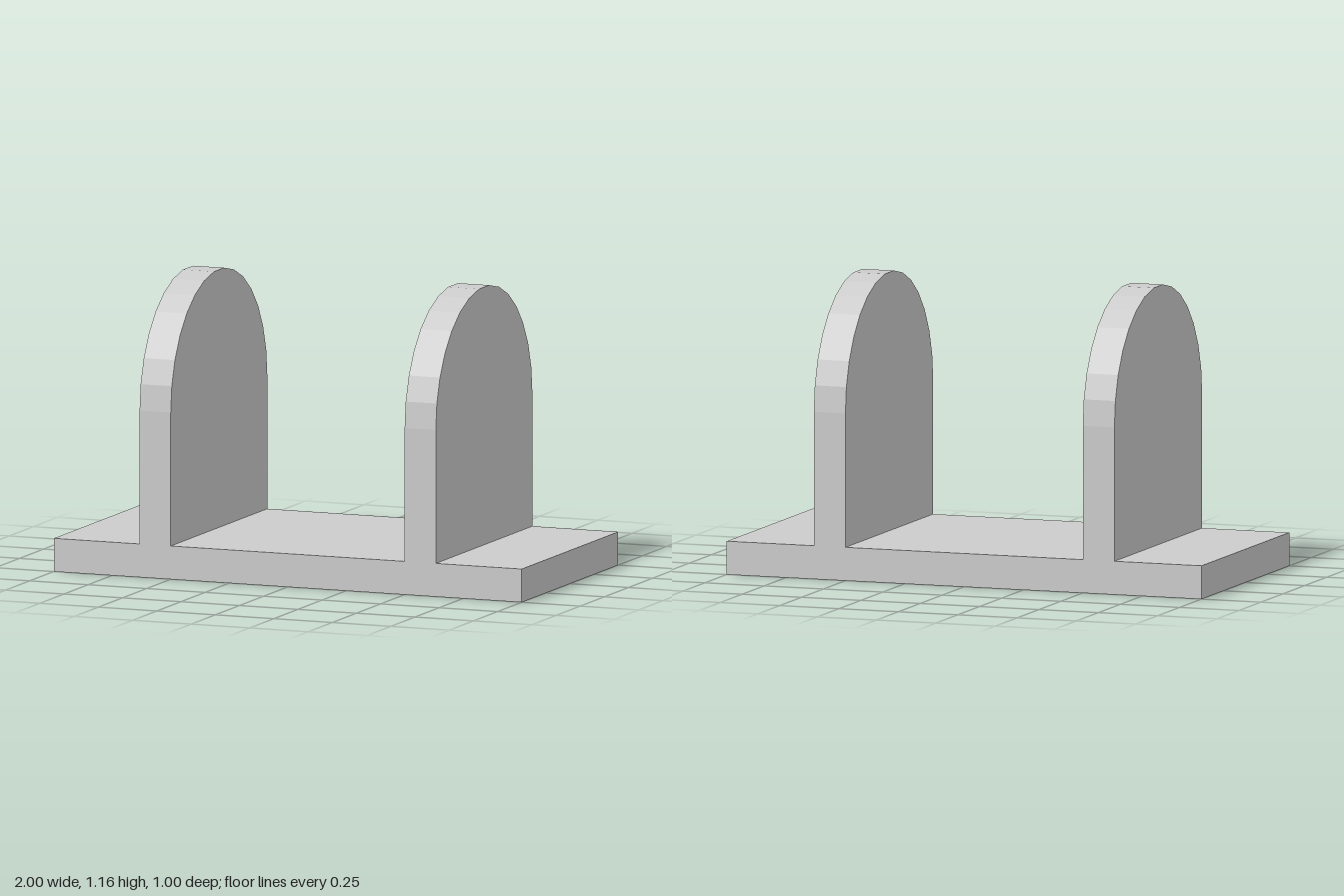
import * as THREE from 'three';

const LENGTH = 2, DEPTH = 1, THICK = 0.133;
const ARC_Y = 0.667, RADIUS = DEPTH / 2, ARC_SIDES = 15;
const CHEEK_INNER_X = 0.5;

// Upright plate: straight sides with a faceted half-round top, centred on x = 0
function cheekGeometry() {
  const points = [new THREE.Vector2(-RADIUS, THICK), new THREE.Vector2(RADIUS, THICK)];
  for (let i = 0; i <= ARC_SIDES; i++) {
    const a = (i / ARC_SIDES) * Math.PI;
    points.push(new THREE.Vector2(Math.cos(a) * RADIUS, ARC_Y + Math.sin(a) * RADIUS));
  }
  const geometry = new THREE.ExtrudeGeometry(new THREE.Shape(points), {
    depth: THICK, bevelEnabled: false,
  });
  return geometry.translate(0, 0, -THICK / 2).rotateY(Math.PI / 2);
}

export function createModel() {
  const model = new THREE.Group();
  model.name = 'bracket';
  const material = new THREE.MeshStandardMaterial({ color: 0xcccccc, flatShading: true });

  // Flat base plate
  const base = new THREE.Mesh(new THREE.BoxGeometry(LENGTH, THICK, DEPTH), material);
  base.name = 'basePlate';
  base.position.y = THICK / 2;
  model.add(base);

  // Pair of rounded uprights
  const geometry = cheekGeometry();
  for (const [name, side] of [['leftUpright', 1], ['rightUpright', -1]]) {
    const upright = new THREE.Mesh(geometry, material);
    upright.name = name;
    upright.position.x = side * (CHEEK_INNER_X + THICK / 2);
    model.add(upright);
  }
  return model;
}
